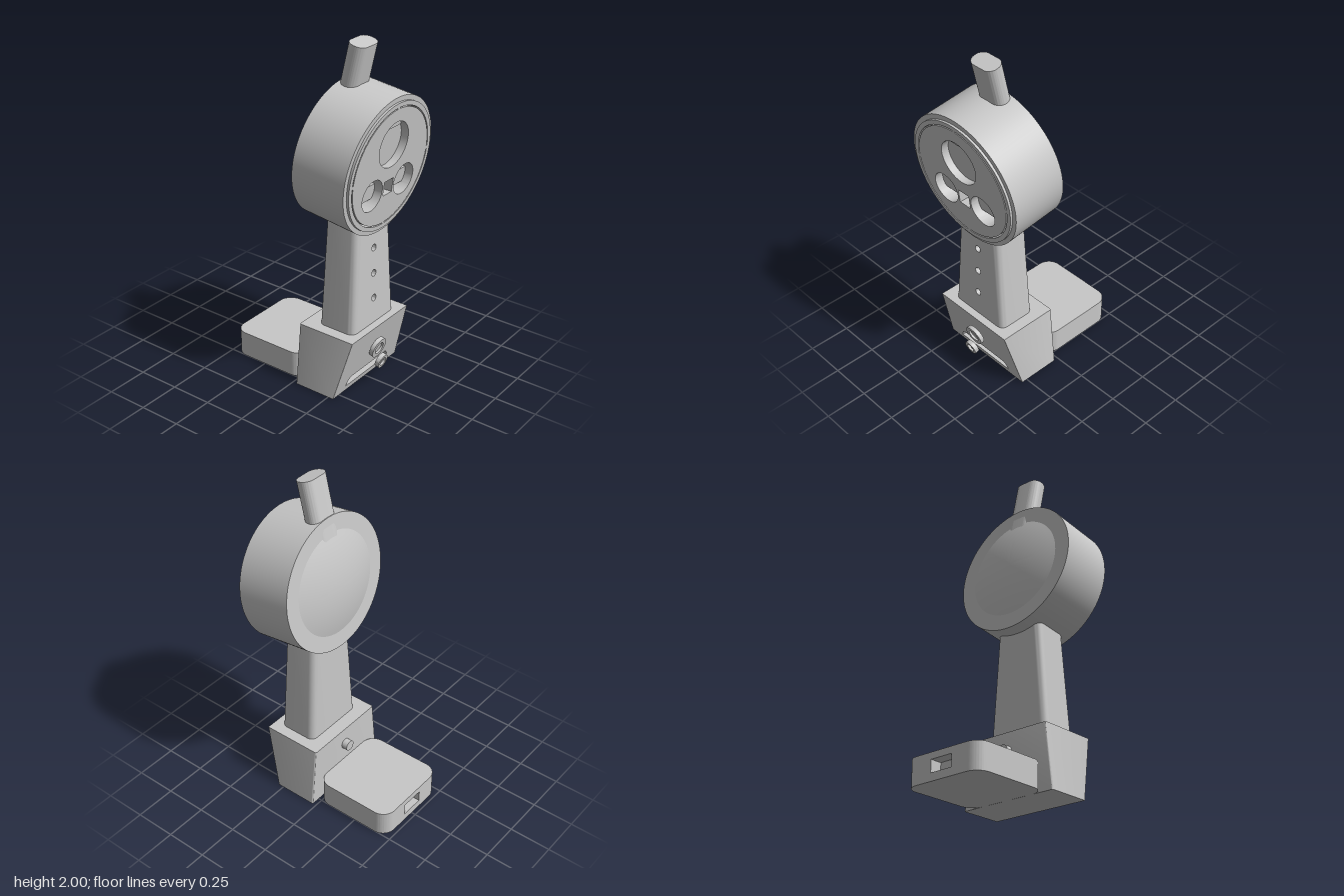
import * as THREE from 'three';
import { toCreasedNormals } from 'three/addons/utils/BufferGeometryUtils.js';

const grey = new THREE.MeshStandardMaterial({ color: 0xc8c8c8 });
grey.name = 'light grey plastic';

function add(parent, name, geometry, x = 0, y = 0, z = 0) {
  const mesh = new THREE.Mesh(geometry, grey);
  mesh.name = name;
  mesh.position.set(x, y, z);
  parent.add(mesh);
  return mesh;
}

const extrude = (shape, depth) =>
  toCreasedNormals(new THREE.ExtrudeGeometry(shape, { depth, bevelEnabled: false, curveSegments: 32 }), 0.6);

const circle = (x, y, r) => new THREE.Path().absarc(x, y, r, 0, Math.PI * 2, true);
const polygon = (pts) => new THREE.Shape(pts.map(([x, y]) => new THREE.Vector2(x, y)));

// Rounded rectangle, optionally notched in the middle of its top edge
function roundedRect(w, h, r, notchW = 0, notchD = 0) {
  const s = new THREE.Shape();
  const x = w / 2, y = h / 2, q = Math.PI / 2;
  s.absarc(x - r, -y + r, r, -q, 0, false);
  s.absarc(x - r, y - r, r, 0, q, false);
  if (notchW) {
    s.lineTo(notchW / 2, y).lineTo(notchW / 2, y - notchD);
    s.lineTo(-notchW / 2, y - notchD).lineTo(-notchW / 2, y);
  }
  s.absarc(-x + r, y - r, r, q, 2 * q, false);
  s.absarc(-x + r, -y + r, r, 2 * q, 3 * q, false);
  s.closePath();
  return s;
}

// Horizontal rounded section, open along the front edge
function section({ y, hw, front, back }, rf, rb) {
  const pts = [];
  for (let c = 0; c < 4; c++) {
    const isFront = c === 0 || c === 3, r = isFront ? rf : rb;
    const cx = (c < 2 ? 1 : -1) * (hw - r), cz = isFront ? front - r : back + r;
    for (let i = 0; i <= 6; i++) {
      const t = (c + i / 6) * Math.PI / 2;
      pts.push([cx + r * Math.sin(t), y, cz + r * Math.cos(t)]);
    }
  }
  return pts;
}

// Tapered column: lofted sides and caps, plus a sloping front panel with holes
function column(parent, name, low, high, rf, rb, holes, depth) {
  const a = section(low, rf, rb), b = section(high, rf, rb), v = [];
  const midLow = [0, low.y, (low.front + low.back) / 2];
  const midHigh = [0, high.y, (high.front + high.back) / 2];
  const n = a.length;
  for (let i = 0; i < n; i++) {
    const j = (i + 1) % n;
    if (j) v.push(...a[i], ...a[j], ...b[i], ...a[j], ...b[j], ...b[i]);
    v.push(...midLow, ...a[j], ...a[i], ...midHigh, ...b[i], ...b[j]);
  }
  const g = new THREE.BufferGeometry();
  g.setAttribute('position', new THREE.Float32BufferAttribute(v, 3));
  add(parent, name + 'Body', toCreasedNormals(g, 0.6));

  const outline = [[-low.hw + rf, low.y], [low.hw - rf, low.y], [high.hw - rf, high.y], [-high.hw + rf, high.y]];
  const k = (high.front - low.front) / (high.y - low.y);
  const slope = new THREE.Matrix4().set(
    1, 0, 0, 0,
    0, 1, 0, 0,
    0, k, 1, low.front - k * low.y - depth,
    0, 0, 0, 1);
  const panel = polygon(outline);
  panel.holes.push(...holes);
  add(parent, name + 'Front', extrude(panel, depth).applyMatrix4(slope));
  add(parent, name + 'HoleFloor', new THREE.ShapeGeometry(polygon(outline)).applyMatrix4(slope));
}

// Ring button with a sunken centre
function button(parent, name, y, z, r, inner, thick) {
  const g = new THREE.Group();
  g.name = name;
  const ring = new THREE.Shape().absarc(0, 0, r, 0, Math.PI * 2, false);
  ring.holes.push(circle(0, 0, inner));
  add(g, name + 'Ring', extrude(ring, thick), 0, 0, -thick / 2);
  const disc = new THREE.CylinderGeometry(inner, inner, thick * 0.5, 32).rotateX(Math.PI / 2);
  add(g, name + 'Centre', disc, 0, 0, -thick * 0.25);
  g.position.set(0, y, z);
  g.rotation.x = 0.26;
  parent.add(g);
}

function buildHead() {
  const head = new THREE.Group();
  head.name = 'head';
  const tilt = 0.124;
  // Drum with a domed back and a recessed front
  const profile = [];
  for (let i = 0; i <= 12; i++) {
    const r = 0.3 * i / 12;
    profile.push(new THREE.Vector2(r, -0.166 - 0.047 * (1 - (r / 0.3) ** 2)));
  }
  for (const [r, z] of [[0.394, -0.166], [0.394, 0.166], [0.36, 0.166], [0.36, 0.06], [0, 0.06]])
    profile.push(new THREE.Vector2(r, z));
  const drum = new THREE.LatheGeometry(profile, 96).rotateX(Math.PI / 2);
  add(head, 'drum', toCreasedNormals(drum, 0.14));

  // Face plate with windows and a groove in four arcs, its holes cut level
  const plate = new THREE.Shape().absarc(0, 0, 0.367, 0, Math.PI * 2, false);
  plate.holes.push(circle(0, 0.131, 0.13), circle(-0.143, -0.121, 0.09), circle(0.143, -0.121, 0.09));
  const sq = new THREE.Path();
  sq.moveTo(-0.04, -0.161).lineTo(-0.04, -0.077).lineTo(0.04, -0.077).lineTo(0.04, -0.161).closePath();
  plate.holes.push(sq);
  for (let i = 0; i < 4; i++) {
    const a0 = i * Math.PI / 2 + 0.03, a1 = (i + 1) * Math.PI / 2 - 0.03;
    const arc = new THREE.Path();
    arc.absarc(0, 0, 0.341, a0, a1, false);
    arc.absarc(0, 0, 0.334, a1, a0, true);
    arc.closePath();
    plate.holes.push(arc);
  }
  const level = new THREE.Matrix4().set(
    1, 0, 0, 0,
    0, 1, Math.tan(tilt), -0.12 * Math.tan(tilt),
    0, 0, 1, 0,
    0, 0, 0, 1);
  add(head, 'facePlate', extrude(plate, 0.12).applyMatrix4(level), 0, 0, 0.06);

  // Shallow floor and ledge in the large window, ledges in the small ones
  const floor = new THREE.CylinderGeometry(0.15, 0.15, 0.07, 48).rotateX(Math.PI / 2);
  add(head, 'windowFloor', floor, 0, 0.125, 0.1);
  add(head, 'upperLedge', new THREE.BoxGeometry(0.18, 0.06, 0.02), 0, 0.24, 0.138);
  for (const s of [-1, 1])
    add(head, 'lowerLedge', new THREE.BoxGeometry(0.18, 0.085, 0.07), s * 0.143, -0.14, 0.095);

  head.position.set(0, 1.365, 0.25);
  head.rotation.x = tilt;
  return head;
}

export function createModel() {
  const model = new THREE.Group();
  model.name = 'standingDevice';

  // Base block with a low, deep slot in its sloping front
  const slot = polygon([[-0.2, 0.035], [-0.19, 0.065], [-0.17, 0.088], [0.17, 0.088], [0.19, 0.065], [0.2, 0.035]]);
  column(model, 'base',
    { y: 0, hw: 0.305, front: 0.285, back: 0.022 },
    { y: 0.375, hw: 0.265, front: 0.385, back: 0.022 }, 0.002, 0.01, [slot], 0.13);
  for (const s of [-1, 1])
    add(model, 'slotTab', new THREE.BoxGeometry(0.025, 0.022, 0.04), s * 0.165, 0.046, 0.19);
  button(model, 'largeButton', 0.222, 0.37, 0.062, 0.037, 0.024);
  button(model, 'smallButton', 0.144, 0.396, 0.043, 0.026, 0.026);

  // Knob on the back of the base
  const knob = new THREE.CylinderGeometry(0.032, 0.032, 0.06, 32).rotateX(Math.PI / 2);
  add(model, 'rearKnob', knob, 0, 0.265, 0.015);

  // Rear tray in three layers, the middle one notched for the port
  for (const [y, h, notch] of [[0, 0.045, 0], [0.045, 0.07, 0.14], [0.115, 0.038, 0]]) {
    const layer = extrude(roundedRect(0.504, 0.495, 0.08, notch, 0.07), h).rotateX(-Math.PI / 2);
    add(model, 'rearTray', layer, 0, y, -0.2265);
  }

  // Neck with three small front holes
  column(model, 'neck',
    { y: 0.37, hw: 0.198, front: 0.34, back: 0.103 },
    { y: 1.06, hw: 0.15, front: 0.328, back: 0.114 }, 0.04, 0.04,
    [0.84, 0.685, 0.53].map((y) => circle(0, y, 0.02)), 0.04);

  model.add(buildHead());

  // Stem leaning forward, its foot running down the back of the head
  const stem = extrude(roundedRect(0.174, 0.106, 0.05), 0.4).rotateX(-Math.PI / 2);
  add(model, 'topStem', stem, 0, 1.598, 0.152).rotation.x = 0.23;

  return model;
}
